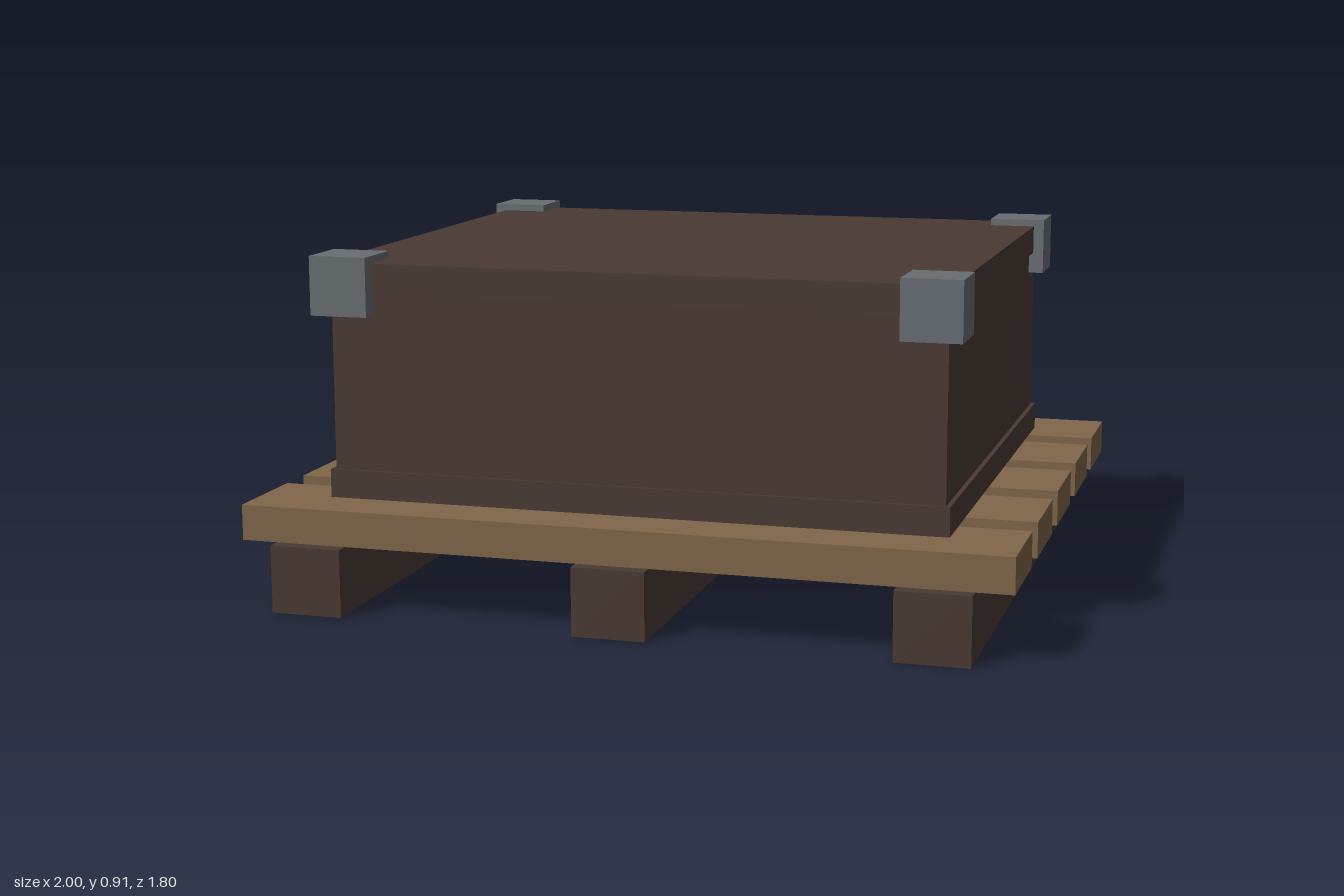
import * as THREE from 'three';

export function createModel() {
  const mat = (name, color) => Object.assign(new THREE.MeshStandardMaterial({ color }), { name });
  const darkWood = mat('dark wood', 0x4a3a33);
  const paleWood = mat('pale wood', 0x80674a);
  const steel = mat('steel', 0x676e72);

  const model = new THREE.Group();
  model.name = 'crateOnPallet';

  // Box given by its size, bottom height and centre
  function box(parent, name, material, w, h, d, x, bottom, z) {
    const mesh = new THREE.Mesh(new THREE.BoxGeometry(w, h, d), material);
    mesh.name = name;
    mesh.position.set(x, bottom + h / 2, z);
    parent.add(mesh);
  }

  // Pallet: three runners under five slats
  const pallet = new THREE.Group();
  pallet.name = 'pallet';
  for (const i of [-1, 0, 1]) box(pallet, 'runner', darkWood, 0.19, 0.177, 1.8, i * 0.81, 0, 0);
  for (const i of [-2, -1, 0, 1, 2]) box(pallet, 'slat', paleWood, 2, 0.093, 0.267, 0, 0.177, i * 0.365);

  // Crate: plinth, body and overhanging lid
  const crate = new THREE.Group();
  crate.name = 'crate';
  box(crate, 'plinth', darkWood, 1.632, 0.075, 1.435, 0, 0.27, 0);
  box(crate, 'body', darkWood, 1.608, 0.465, 1.415, 0, 0.345, 0);
  box(crate, 'lid', darkWood, 1.632, 0.077, 1.435, 0, 0.81, 0);

  // Metal caps on the lid corners
  for (const sx of [-1, 1])
    for (const sz of [-1, 1])
      box(crate, 'cornerCap', steel, 0.154, 0.154, 0.154, sx * 0.768, 0.752, sz * 0.673);

  model.add(pallet, crate);
  return model;
}
